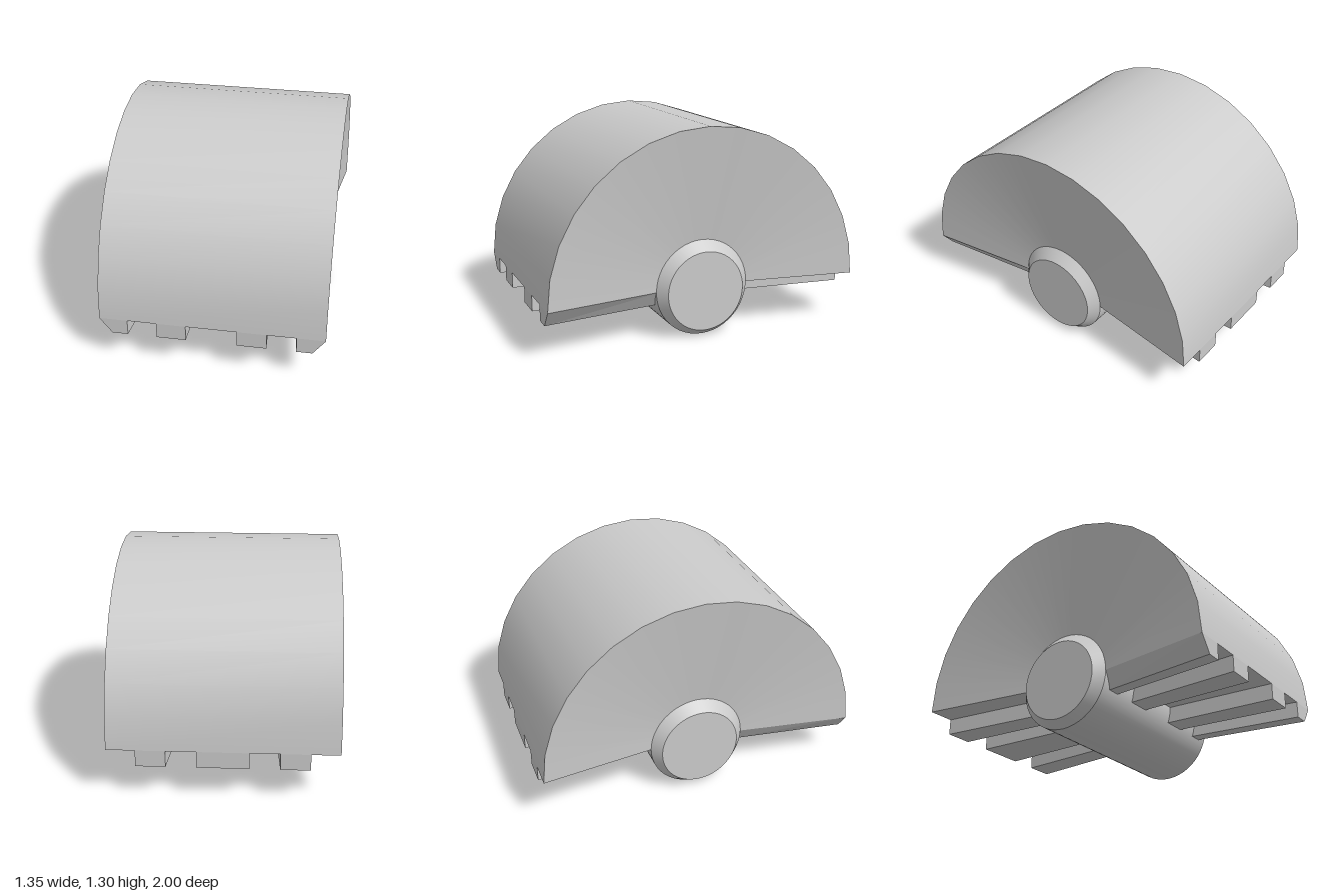
import * as THREE from 'three';
import { toCreasedNormals } from 'three/addons/utils/BufferGeometryUtils.js';

const AXIS_Y = 0.3, HALF = 0.675, INNER = 0.27;
// Everything narrows along x towards the axis: 1 at the rim, 0.852 at the shaft.
const taper = (r) => 1 - (1 - r) * 0.2115;

export function createModel() {
  const group = new THREE.Group();
  const mat = new THREE.MeshStandardMaterial({ color: 0xcccccc });
  const add = (name, geometry, parent = group) => {
    const mesh = new THREE.Mesh(geometry, mat);
    mesh.name = name;
    parent.add(mesh);
    return mesh;
  };
  // Lathe about the x axis; profile points are [radius, x].
  const turned = (profile, segments, start, sweep) =>
    new THREE.LatheGeometry(profile.map(([r, x]) => new THREE.Vector2(r, x)), segments, start, sweep)
      .rotateZ(-Math.PI / 2);

  // Half drum with slightly dished ends
  const inX = HALF * taper(INNER);
  const drum = turned([[INNER, -inX], [1, -HALF], [1, HALF], [INNER, inX]], 16, Math.PI, Math.PI);
  add('halfDrum', toCreasedNormals(drum, 0.5)).position.y = AXIS_Y;

  // Shaft with chamfered ends; the end discs sit slightly low
  const shaft = turned([[0, -0.635], [0.247, -0.635], [0.3, -0.575], [0.3, 0.575], [0.247, 0.635], [0, 0.635]],
    48, 0, Math.PI * 2);
  const p = shaft.attributes.position;
  for (let i = 0; i < p.count; i++) {
    if (Math.abs(p.getX(i)) > 0.6) p.setY(i, p.getY(i) - 0.01);
  }
  add('shaft', toCreasedNormals(shaft, 0.5)).position.y = AXIS_Y;

  // Toothed underside: a profile at the rim swept inwards with the taper
  const underside = (name, teeth) => {
    const side = new THREE.Group();
    side.name = name;
    const line = [[-HALF, 0.3], ...teeth.flat(), [HALF, 0.3]];
    const verts = [];
    for (let i = 0; i < line.length - 1; i++) {
      const [x0, y0] = line[i], [x1, y1] = line[i + 1], t = taper(INNER);
      const a = [x0, y0, 1], b = [x1, y1, 1], c = [x1 * t, y1, INNER], d = [x0 * t, y0, INNER];
      verts.push(...a, ...d, ...c, ...a, ...c, ...b);
    }
    const strip = new THREE.BufferGeometry();
    strip.setAttribute('position', new THREE.Float32BufferAttribute(verts, 3));
    strip.computeVertexNormals();
    add('toothedFace', strip, side);
    for (const tooth of teeth) {
      const shape = new THREE.Shape(tooth.map(([x, y]) => new THREE.Vector2(x, y)));
      add('toothEnd', new THREE.ShapeGeometry(shape).translate(0, 0, 1), side);
    }
    group.add(side);
    return side;
  };
  const tooth = (a, b, a2 = a, b2 = b) => [[a, 0.3], [a2, 0.2], [b2, 0.2], [b, 0.3]];

  underside('frontTeeth', [
    tooth(-HALF, -0.505, -0.6), tooth(-0.33, -0.153),
    tooth(0.153, 0.33), tooth(0.505, HALF, 0.505, 0.6),
  ]);
  // Rear teeth fill the positions of the front gaps
  underside('rearTeeth', [tooth(-0.505, -0.33), tooth(-0.153, 0.153), tooth(0.33, 0.505)]).rotation.y = Math.PI;

  return group;
}
